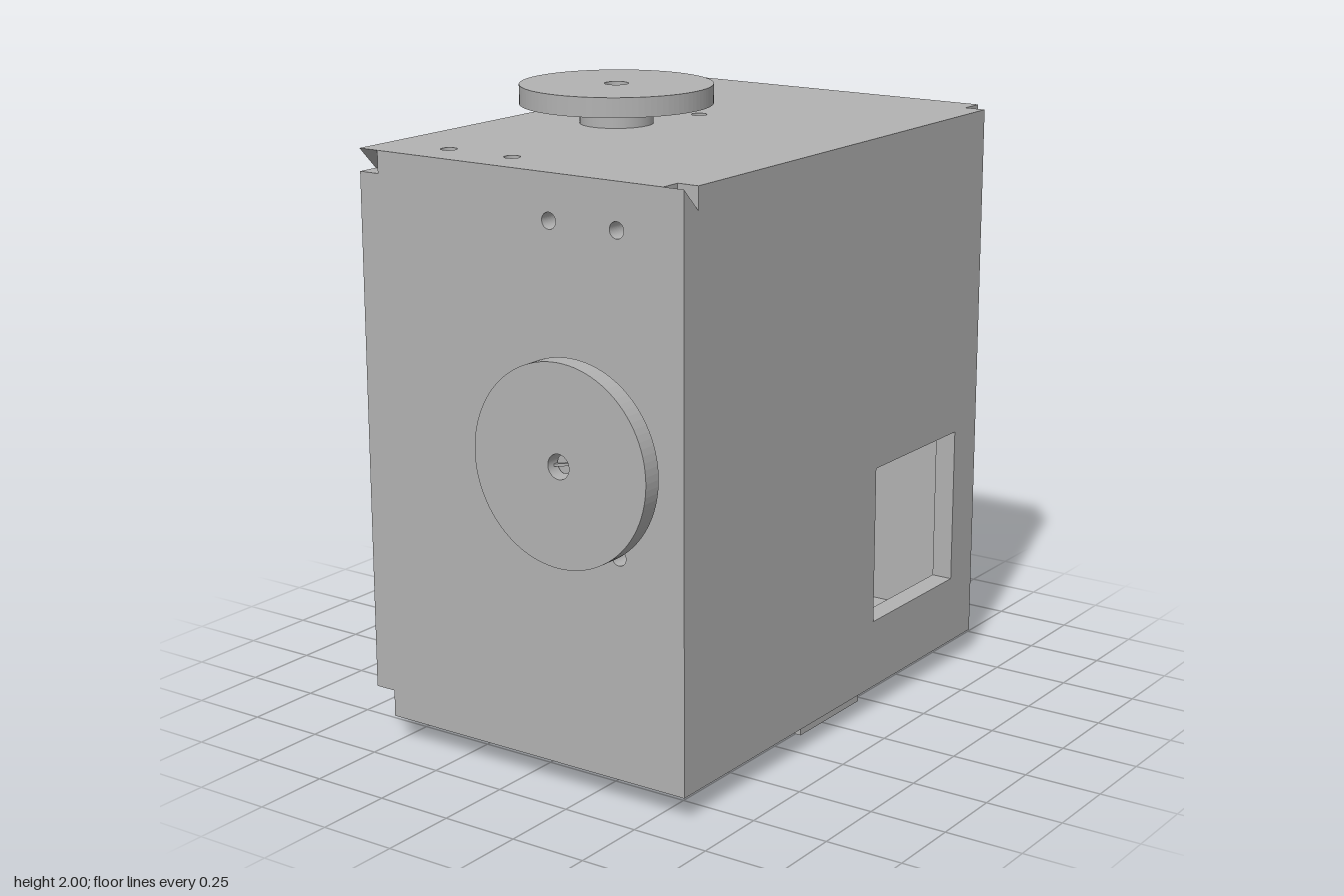
import * as THREE from 'three';

const grey = new THREE.MeshStandardMaterial({ color: 0xb2b2b2 });
grey.name = 'plain grey';

function add(parent, name, geometry, x = 0, y = 0, z = 0) {
  const mesh = new THREE.Mesh(geometry, grey);
  mesh.name = name;
  mesh.position.set(x, y, z);
  parent.add(mesh);
  return mesh;
}

// Box given by its lower and upper corners
function block(parent, name, [x0, y0, z0], [x1, y1, z1]) {
  return add(parent, name, new THREE.BoxGeometry(x1 - x0, y1 - y0, z1 - z0),
    (x0 + x1) / 2, (y0 + y1) / 2, (z0 + z1) / 2);
}

const outline = pts => new THREE.Shape(pts.map(p => new THREE.Vector2(...p)));
const rect = (x0, y0, x1, y1) => outline([[x0, y0], [x1, y0], [x1, y1], [x0, y1]]);
const circle = (x, y, r) => new THREE.Shape().absarc(x, y, r, 0, Math.PI * 2, false);

// Flat plate with cut-outs, thickness along +z
function plate(shape, holes, depth, curveSegments = 24) {
  shape.holes.push(...holes);
  return new THREE.ExtrudeGeometry(shape, { depth, bevelEnabled: false, curveSegments });
}

// Cylinder along z
function rod(parent, name, r, x, y, z0, z1) {
  const g = new THREE.CylinderGeometry(r, r, z1 - z0, 48).rotateX(Math.PI / 2);
  return add(parent, name, g, x, y, (z0 + z1) / 2);
}

// Half of the case; the other half is the same set turned 180 degrees
function buildHalf() {
  const half = new THREE.Group();
  const kx = 0.24, ky = 0.055;

  // Side wall with window and V-shaped corner joint
  const side = outline([[-0.875, -0.925], [0.84, -0.925], [0.84, 0.875],
    [-0.805, 0.875], [-0.805, 0.805], [-0.875, 0.875]]);
  add(half, 'sideWall', plate(side, [rect(0.19, -0.7, 0.7, -0.185)], 0.07)
    .rotateY(Math.PI / 2), 0.52);

  // Front wall with four small holes
  const holes = [];
  for (const x of [0.12, 0.36]) for (const y of [0.735, -0.23]) holes.push(circle(x, y, 0.025));
  add(half, 'frontWall', plate(rect(-0.52, -0.925, 0.52, 0.875), holes, 0.07), 0, 0, 0.805);

  // Dial with a sunken centre
  rod(half, 'dialShaft', 0.117, kx, ky, 0.86, 0.945);
  add(half, 'dial', plate(circle(kx, ky, 0.307), [circle(kx, ky, 0.038)], 0.062, 48), 0, 0, 0.938);
  const screw = new THREE.Group();
  screw.name = 'dialScrew';
  screw.position.set(kx, ky, 0);
  screw.rotation.z = 0.2;
  half.add(screw);
  rod(screw, 'screwCore', 0.03, 0, 0, 0.94, 0.965);
  block(screw, 'screwBlade', [-0.036, -0.004, 0.96], [0.036, 0.004, 0.975]);

  // Raised and recessed back panels
  add(half, 'raisedBackPanel', plate(rect(-0.52, -0.835, 0.02, 0.875),
    [rect(-0.44, -0.29, -0.02, 0.08)], 0.07), 0, 0, -0.925);
  block(half, 'recessedBackPanel', [0.02, -0.925, -0.84], [0.52, 0.81, -0.77]);

  // Turn latch on the recessed panel, joined to the dial by a spindle
  rod(half, 'latchDisc', 0.135, kx, ky, -0.875, -0.835);
  block(half, 'latchTab', [kx - 0.05, ky - 0.08, -0.945], [kx + 0.05, ky + 0.08, -0.87]);
  rod(half, 'spindle', 0.045, kx, ky, -0.78, 0.87);

  // Sliding handle and its pocket
  block(half, 'slideHandle', [-0.52, -0.22, -1], [-0.345, 0.13, -0.92]);
  block(half, 'pocketFloor', [-0.46, -0.315, -0.86], [-0.005, -0.29, -0.29]);
  block(half, 'pocketCeiling', [-0.46, 0.08, -0.86], [-0.005, 0.105, -0.29]);
  block(half, 'pocketOuterSide', [-0.46, -0.29, -0.86], [-0.44, 0.08, -0.29]);
  block(half, 'pocketInnerSide', [-0.025, -0.29, -0.86], [-0.005, 0.08, -0.29]);
  block(half, 'pocketEnd', [-0.44, -0.29, -0.31], [-0.025, 0.08, -0.29]);
  block(half, 'slideBolt', [-0.36, -0.22, -0.84], [-0.22, 0.0, -0.6]);
  return half;
}

export function createModel() {
  const model = new THREE.Group();
  model.name = 'case';
  const body = new THREE.Group();
  body.name = 'body';
  body.position.y = 1;
  model.add(body);

  const first = buildHalf();
  first.name = 'frontBackHalf';
  const second = buildHalf();
  second.name = 'topBottomHalf';
  // Swaps y with z and flips x
  second.quaternion.setFromAxisAngle(new THREE.Vector3(0, 1, 1).normalize(), Math.PI);
  body.add(first, second);

  // Rib along the panel steps, rounded at the lower back corner
  const rib = new THREE.Shape();
  rib.moveTo(0.77, 0.81);
  rib.lineTo(0.77, -0.77);
  rib.lineTo(-0.81, -0.77);
  rib.lineTo(-0.81, -0.925);
  rib.lineTo(0.845, -0.925);
  rib.absarc(0.845, -0.845, 0.08, -Math.PI / 2, 0, false);
  rib.lineTo(0.925, 0.81);
  add(body, 'stepRib', plate(rib, [], 0.04, 12).rotateY(Math.PI / 2), -0.02);
  return model;
}
